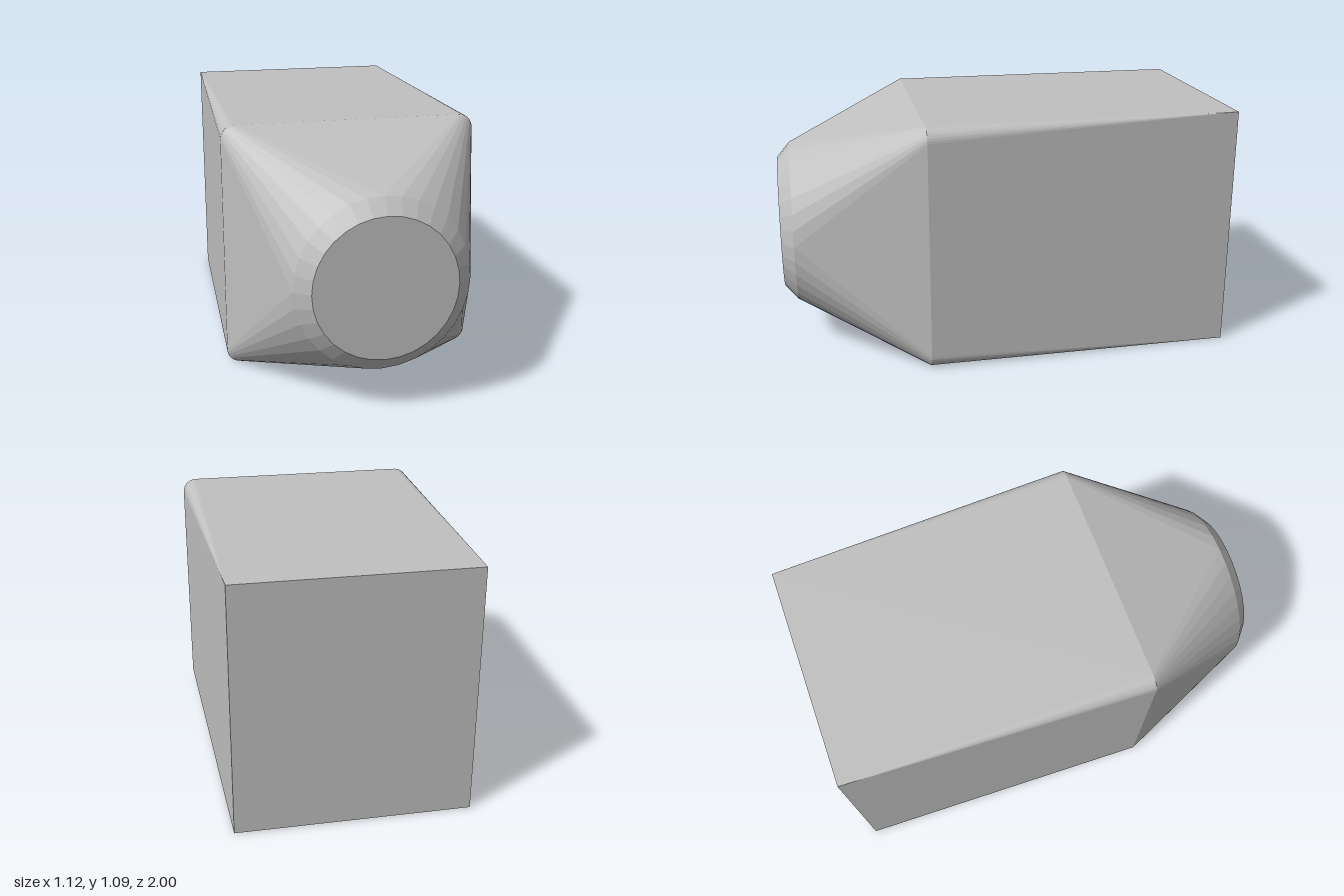
import * as THREE from 'three';

const STEPS = 8; // facets per quarter turn
const MID_Y = 0.545;

// Closed section: four corner arcs of radius r about (+-cx, MID_Y +-cy), counterclockwise from the front
function section(z, cx, cy, r) {
  const points = [];
  for (let q = 0; q < 4; q++) {
    const sx = q === 0 || q === 3 ? 1 : -1;
    const sy = q < 2 ? 1 : -1;
    for (let i = 0; i <= STEPS; i++) {
      const a = (q + i / STEPS) * Math.PI / 2;
      points.push(new THREE.Vector3(sx * cx + r * Math.cos(a), MID_Y + sy * cy + r * Math.sin(a), z));
    }
  }
  return points;
}

function build(triangles) {
  const positions = [];
  const tri = new THREE.Triangle();
  for (const [a, b, c] of triangles) {
    tri.set(a, b, c);
    if (tri.getArea() > 1e-7) positions.push(...a.toArray(), ...b.toArray(), ...c.toArray());
  }
  const geometry = new THREE.BufferGeometry();
  geometry.setAttribute('position', new THREE.Float32BufferAttribute(positions, 3));
  geometry.computeVertexNormals(); // unshared corners keep the facets flat
  return geometry;
}

// Skin between two sections, from back to front
function loft(back, front) {
  const triangles = [];
  back.forEach((a, j) => {
    const k = (j + 1) % back.length;
    triangles.push([a, back[k], front[k]], [a, front[k], front[j]]);
  });
  return build(triangles);
}

// Flat end across a section
function cap(ring, facesFront) {
  const centre = new THREE.Vector3(0, MID_Y, ring[0].z);
  return build(ring.map((a, j) => {
    const b = ring[(j + 1) % ring.length];
    return facesFront ? [centre, a, b] : [centre, b, a];
  }));
}

export function createModel() {
  const group = new THREE.Group();
  group.name = 'taperedHousing';
  const grey = new THREE.MeshStandardMaterial({ color: 0xc0c0c0 });
  grey.name = 'grey';

  const rear = section(-1, 0.5, 0.545, 0);         // sharp rectangle
  const shoulder = section(0.38, 0.5, 0.485, 0.06); // rounded rectangle
  const collar = section(0.945, 0, 0, 0.365);      // circle
  const tip = section(1, 0, 0, 0.3);

  const parts = {
    rearFace: cap(rear, false),
    body: loft(rear, shoulder),
    nose: loft(shoulder, collar),
    noseChamfer: loft(collar, tip),
    frontFace: cap(tip, true),
  };
  for (const [name, geometry] of Object.entries(parts)) {
    const mesh = new THREE.Mesh(geometry, grey);
    mesh.name = name;
    group.add(mesh);
  }
  return group;
}
